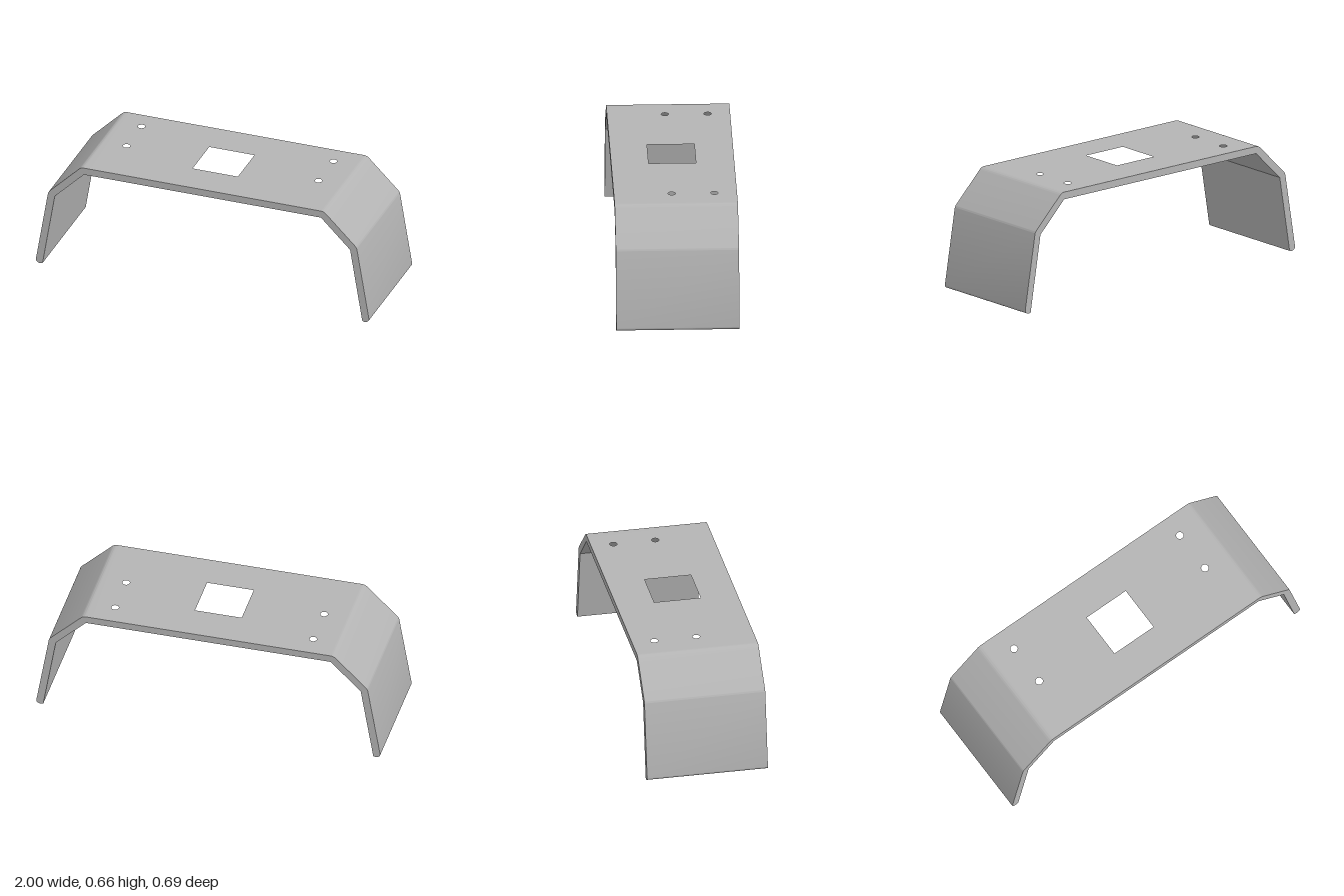
import * as THREE from 'three';
import { toCreasedNormals } from 'three/addons/utils/BufferGeometryUtils.js';

const TOP = 0.661, THICK = 0.042, HALF_DEPTH = 0.346, SEAM = 0.65;
const rad = THREE.MathUtils.degToRad;

// Removes the hidden walls where the plate meets the bent legs
function openSeams(geometry) {
  const g = geometry.index ? geometry.toNonIndexed() : geometry;
  const p = g.attributes.position, kept = [];
  for (let i = 0; i < p.count; i += 3) {
    const atSeam = [1, -1].some(s =>
      [0, 1, 2].every(k => Math.abs(p.getX(i + k) - s * SEAM) < 1e-5));
    if (atSeam) continue;
    for (let k = 0; k < 3; k++) kept.push(p.getX(i + k), p.getY(i + k), p.getZ(i + k));
  }
  const out = new THREE.BufferGeometry();
  out.setAttribute('position', new THREE.Float32BufferAttribute(kept, 3));
  return toCreasedNormals(out, 0.5);
}

// Flat top with a square cut-out and four bolt holes
function topPlateGeometry() {
  const rect = (Type, x0, x1, z0, z1) => new Type([
    new THREE.Vector2(x0, -z0), new THREE.Vector2(x1, -z0),
    new THREE.Vector2(x1, -z1), new THREE.Vector2(x0, -z1),
  ]);
  const shape = rect(THREE.Shape, -SEAM, SEAM, -HALF_DEPTH, HALF_DEPTH);
  shape.holes.push(rect(THREE.Path, -0.137, 0.134, -0.13, 0.136));
  for (const x of [-0.576, 0.574]) {
    for (const z of [-0.219, 0.021]) {
      shape.holes.push(new THREE.Path().absarc(x, -z, 0.021, 0, Math.PI * 2, true));
    }
  }
  const g = new THREE.ExtrudeGeometry(shape, { depth: THICK, bevelEnabled: false, curveSegments: 16 });
  g.rotateX(-Math.PI / 2);
  g.translate(0, TOP - THICK, 0);
  return openSeams(g);
}

// Bent leg: sharp inner corners, rounded outer bends and lower edge
function legGeometry() {
  const shape = new THREE.Shape();
  const inner = TOP - THICK;
  shape.moveTo(SEAM, inner);
  shape.lineTo(SEAM, TOP);
  shape.absarc(0.71, inner, THICK, rad(90), rad(45), true);
  shape.absarc(0.885, 0.446, THICK, rad(45), rad(9.5), true);
  shape.lineTo(0.9975, 0.026);
  shape.quadraticCurveTo(1.002, 0.006, 0.972, 0);
  shape.lineTo(0.958, 0.004);
  shape.lineTo(0.885, 0.446);
  shape.lineTo(0.71, inner);
  const g = new THREE.ExtrudeGeometry(shape, { depth: HALF_DEPTH * 2, bevelEnabled: false, curveSegments: 8 });
  g.translate(0, 0, -HALF_DEPTH);
  return openSeams(g);
}

export function createModel() {
  const model = new THREE.Group();
  model.name = 'bracket';
  const metal = new THREE.MeshStandardMaterial({ color: 0xb4b4b4 });
  metal.name = 'grey metal';

  const plate = new THREE.Mesh(topPlateGeometry(), metal);
  plate.name = 'topPlate';
  model.add(plate);

  const leg = legGeometry();
  for (const [name, turn] of [['leftLeg', 0], ['rightLeg', Math.PI]]) {
    const mesh = new THREE.Mesh(leg, metal);
    mesh.name = name;
    mesh.rotation.y = turn;
    model.add(mesh);
  }
  return model;
}
